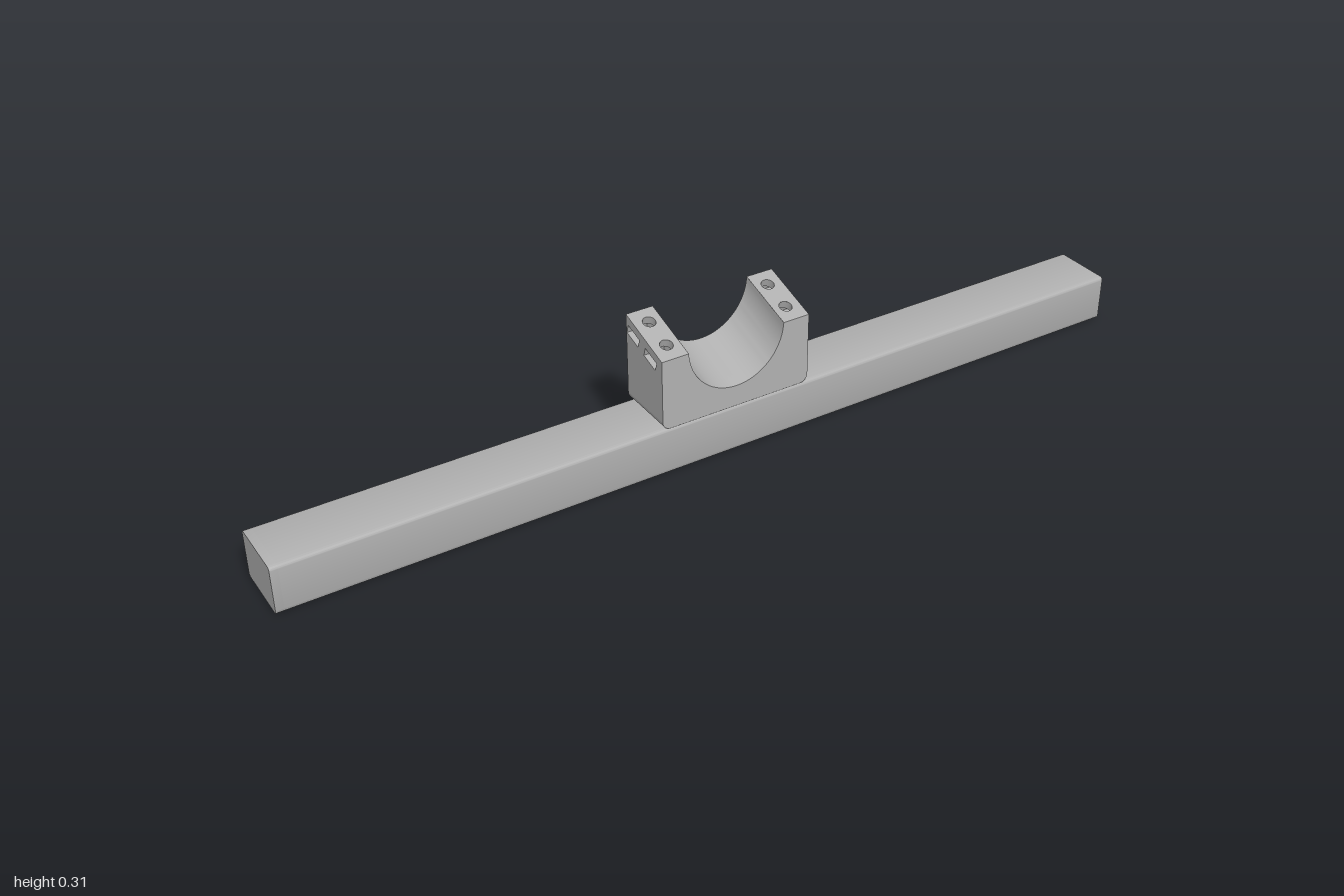
import * as THREE from 'three';
import { toCreasedNormals } from 'three/addons/utils/BufferGeometryUtils.js';

const HALF = 0.069;              // half depth in z of rail and saddle
const RAIL_TOP = 0.107;
const TOP = 0.267;               // saddle height at the front
const RISE = 0.042;              // extra height at the back
const TILT = Math.atan(RISE / (2 * HALF));
const MID = TOP + RISE / 2;
const SIDE = 0.175;              // saddle half width
const BOLT_X = 0.142, BOLT_Z = [0.0334, -0.0355], BOLT_R = 0.014;
const SLOT_Y = -0.0285, SLOT_H = 0.02, SLOT_W = 0.0225;

const V2 = (x, y) => new THREE.Vector2(x, y);
const V3 = (x, y, z) => new THREE.Vector3(x, y, z);

// Strip of quads between two rows of points
function band(a, b) {
  const points = [];
  for (let i = 0; i + 1 < a.length; i++) {
    points.push(a[i], b[i], a[i + 1], a[i + 1], b[i], b[i + 1]);
  }
  const g = new THREE.BufferGeometry().setFromPoints(points);
  g.computeVertexNormals();
  return toCreasedNormals(g, 0.6);
}

function circle(x, y, r) {
  return new THREE.Path().absarc(x, y, r, 0, Math.PI * 2, true);
}

function roundedOutline(shape, r) {
  const t = RAIL_TOP, h = HALF;
  return shape
    .lineTo(h - r, 0).quadraticCurveTo(h, 0, h, r)
    .lineTo(h, t - r).quadraticCurveTo(h, t, h - r, t)
    .lineTo(-h + r, t).quadraticCurveTo(-h, t, -h, t - r)
    .lineTo(-h, r).quadraticCurveTo(-h, 0, -h + r, 0);
}

export function createModel() {
  const model = new THREE.Group();
  const grey = new THREE.MeshStandardMaterial({ color: 0xb0b0b0, side: THREE.DoubleSide });
  grey.name = 'grey';
  const add = (parent, name, geometry) => {
    const mesh = new THREE.Mesh(geometry, grey);
    mesh.name = name;
    parent.add(mesh);
    return mesh;
  };

  // Channel rail, open below and at +x, with a groove along each inner wall
  const cap = 0.017;
  const section = roundedOutline(new THREE.Shape().moveTo(0.052, 0), 0.008);
  [[-0.052, 0], [-0.052, 0.008], [-0.058, 0.008], [-0.058, 0.021], [-0.052, 0.021], [-0.052, 0.09],
    [0.052, 0.09], [0.052, 0.021], [0.058, 0.021], [0.058, 0.008], [0.052, 0.008], [0.052, 0]]
    .forEach(([x, y]) => section.lineTo(x, y));
  const alongX = (shape, start, length) => toCreasedNormals(
    new THREE.ExtrudeGeometry(shape, { depth: length, bevelEnabled: false, curveSegments: 6 })
      .rotateY(Math.PI / 2).translate(start, 0, 0), 0.6);
  add(model, 'channelRail', alongX(section, -1 + cap, 2 - cap));
  add(model, 'railEndCap', alongX(roundedOutline(new THREE.Shape().moveTo(0, 0), 0.008), -1, cap));

  // Saddle profile: rounded base edges and a round cradle
  const saddle = new THREE.Group();
  saddle.name = 'saddle';
  model.add(saddle);
  const fillet = 0.018, base = [], arc = [];
  for (let i = 0; i <= 6; i++) {
    const a = (i / 6) * Math.PI / 2;
    base.push(V2(-SIDE + fillet * (1 - Math.cos(a)), RAIL_TOP + fillet * (1 - Math.sin(a))));
  }
  base.push(...base.map((p) => V2(-p.x, p.y)).reverse());
  const rx = 0.113, ry = 0.117, axis = 0.005, a0 = Math.asin(axis / ry);
  for (let i = 0; i <= 40; i++) {
    const a = Math.PI + a0 + (i / 40) * (Math.PI - 2 * a0);
    arc.push(V2(rx * Math.cos(a), TOP + axis + ry * Math.sin(a)));
  }
  const outline = (lift) => new THREE.Shape([
    ...base, V2(SIDE, TOP + lift),
    ...arc.map((p) => V2(p.x, p.y + lift)).reverse(),
    V2(-SIDE, TOP + lift),
  ]);
  const row = (points, lift, z) => points.map((p) => V3(p.x, p.y + lift, z));

  add(saddle, 'saddleFront', new THREE.ShapeGeometry(outline(0)).translate(0, 0, HALF));
  const back = outline(RISE);
  const outletY = 0.216, outletR = 0.01;
  for (const s of [1, -1]) back.holes.push(circle(s * 0.145, outletY, outletR));
  add(saddle, 'saddleBack', new THREE.ShapeGeometry(back, 16).rotateY(Math.PI).translate(0, 0, -HALF));
  add(saddle, 'saddleBase', band(row(base, 0, HALF), row(base, 0, -HALF)));
  add(saddle, 'cradle', band(row(arc, RISE, -HALF), row(arc, 0, HALF)));

  // Tilted frame in which the top faces, bolt holes and nut slots lie
  const tilted = new THREE.Group();
  tilted.name = 'tiltedTop';
  tilted.position.y = MID;
  tilted.rotation.x = TILT;
  saddle.add(tilted);
  const cos = Math.cos(TILT), sin = Math.sin(TILT), edge = HALF / cos;
  const tube = (r, y0, y1, x, z) =>
    new THREE.CylinderGeometry(r, r, y1 - y0, 20, 1, true).translate(x, (y0 + y1) / 2, z);

  for (const s of [1, -1]) {
    // Outer side wall with slot openings
    const wall = new THREE.Shape([
      V2(s * HALF, RAIL_TOP + fillet), V2(-s * HALF, RAIL_TOP + fillet),
      V2(-s * HALF, TOP), V2(s * HALF, TOP + RISE),
    ]);
    for (const z of BOLT_Z) {
      wall.holes.push(new THREE.Path([[-1, -1], [1, -1], [1, 1], [-1, 1]].map(([i, j]) => {
        const ly = SLOT_Y + j * SLOT_H / 2, lz = z + i * SLOT_W;
        return V2(-s * (ly * sin + lz * cos), MID + ly * cos - lz * sin);
      })));
    }
    add(saddle, 'saddleSide', new THREE.ShapeGeometry(wall).rotateY(s * Math.PI / 2).translate(s * SIDE, 0, 0));

    // Sloping top face with bolt holes
    const top = new THREE.Shape([
      V2(s * rx, -edge), V2(s * SIDE, -edge), V2(s * SIDE, edge), V2(s * rx, edge),
    ]);
    for (const z of BOLT_Z) top.holes.push(circle(s * BOLT_X, -z, BOLT_R));
    add(tilted, 'armTop', new THREE.ShapeGeometry(top, 20).rotateX(-Math.PI / 2));

    for (const z of BOLT_Z) {
      const x = s * BOLT_X, y0 = SLOT_Y - SLOT_H / 2, y1 = SLOT_Y + SLOT_H / 2, depth = -0.085;
      // Bolt hole above and below the nut slot
      add(tilted, 'boltHoleUpper', tube(BOLT_R, y1, 0, x, z));
      add(tilted, 'boltHoleLower', tube(BOLT_R * 0.85, depth, y0, x, z));
      add(tilted, 'boltHoleFloor', new THREE.CircleGeometry(BOLT_R * 0.85, 20)
        .rotateX(-Math.PI / 2).translate(x, depth, z));

      // Nut slot with a pointed hexagonal inner end
      const plan = [[SIDE, -SLOT_W], [0.129, -SLOT_W], [0.116, 0], [0.129, SLOT_W], [SIDE, SLOT_W]];
      const edgeAt = (y) => plan.map(([px, pz]) => V3(s * px, y, z + pz));
      add(tilted, 'nutSlotWall', band(edgeAt(y0), edgeAt(y1)));
      for (const y of [y0, y1]) {
        const face = new THREE.Shape(plan.map(([px, pz]) => V2(s * px, -(z + pz))));
        face.holes.push(circle(x, -z, y === y0 ? BOLT_R * 0.85 : BOLT_R));
        add(tilted, 'nutSlotFace', new THREE.ShapeGeometry(face, 20).rotateX(-Math.PI / 2).translate(0, y, 0));
      }
    }

    // Small outlet where the rear bolt hole reaches the back face
    add(saddle, 'boltOutlet', new THREE.CylinderGeometry(outletR, outletR, 0.012, 16, 1, true)
      .rotateX(Math.PI / 2).translate(s * 0.145, outletY, -HALF + 0.006));
    add(saddle, 'boltOutletFloor', new THREE.CircleGeometry(outletR, 16)
      .rotateY(Math.PI).translate(s * 0.145, outletY, -HALF + 0.012));
  }
  return model;
}
